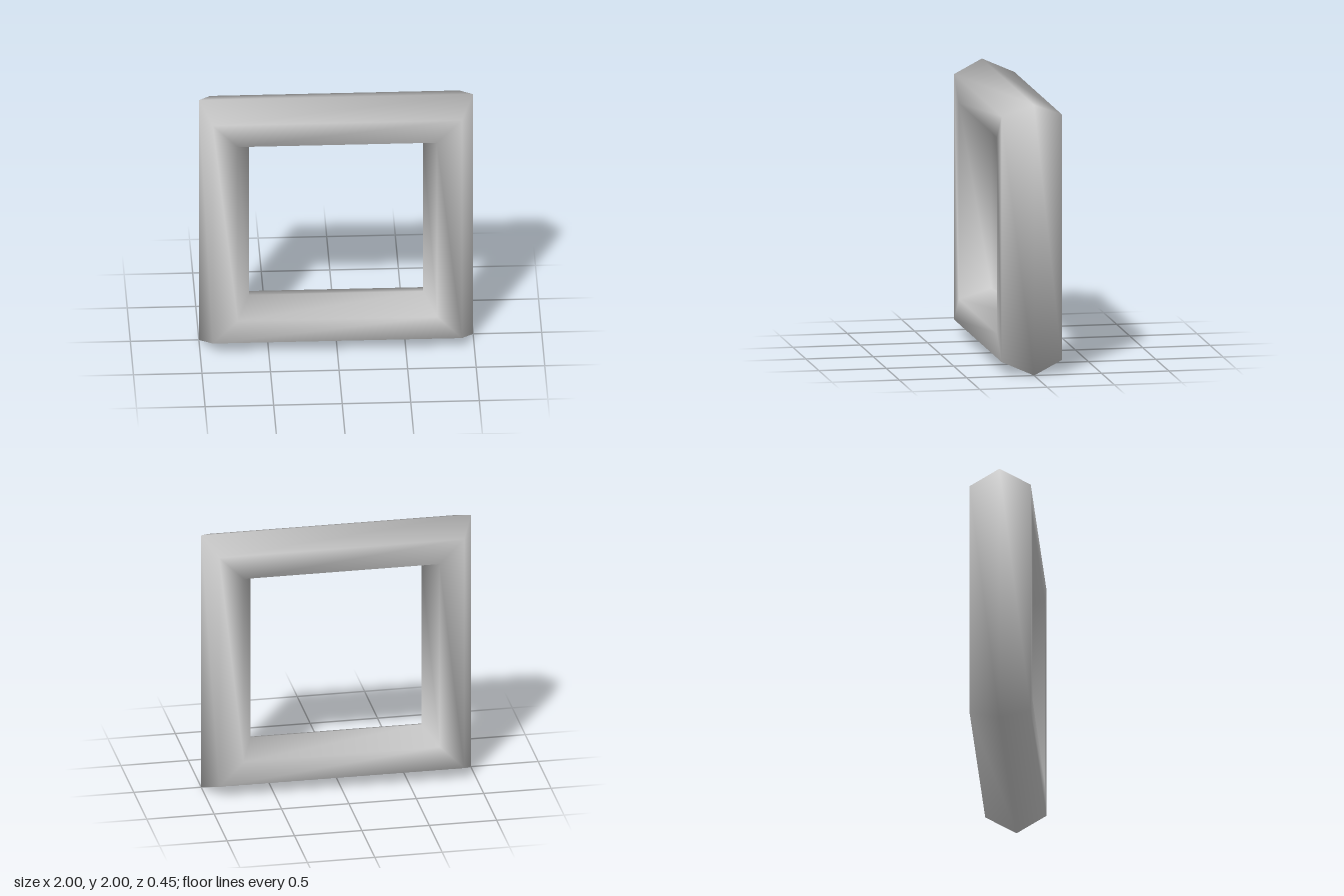
import * as THREE from 'three';

export function createModel() {
  const group = new THREE.Group();
  group.name = 'squareFrame';

  // Square ring with a hexagonal section: a smooth torus with four straight sides
  const outer = 1, inner = 0.635;           // half widths of the outline and the opening
  const toCorner = Math.SQRT2;              // side distance to corner distance
  const ringRadius = (outer + inner) / 2 * toCorner;
  const tubeRadius = (outer - inner) / 2 * toCorner;

  const geometry = new THREE.TorusGeometry(ringRadius, tubeRadius, 6, 4);
  geometry.rotateZ(Math.PI / 4);            // sides upright and level
  geometry.translate(0, outer, 0);          // stand on the ground

  const frame = new THREE.Mesh(geometry, new THREE.MeshStandardMaterial({ color: 0xcccccc }));
  frame.name = 'frame';
  group.add(frame);
  return group;
}
